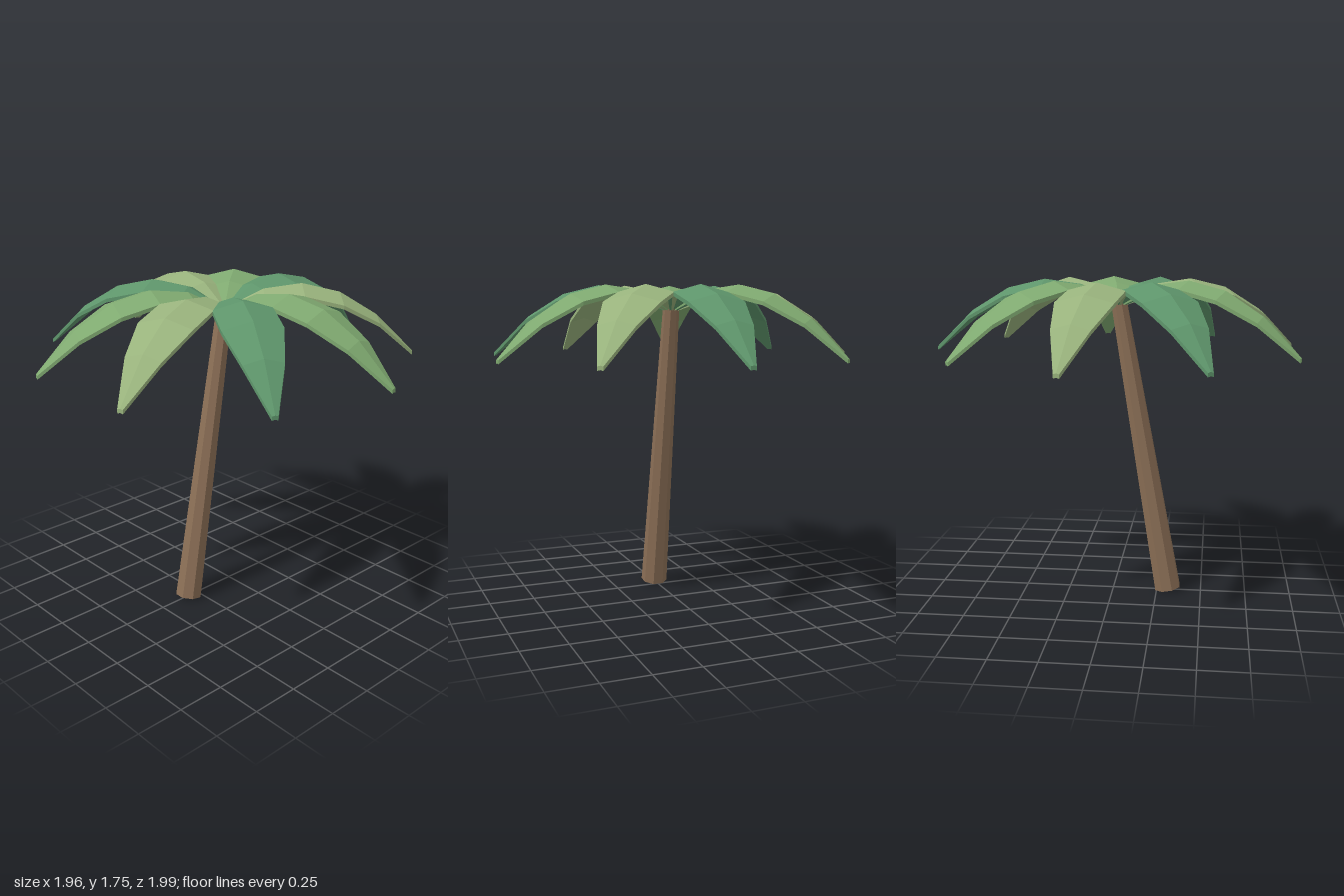
import * as THREE from 'three';

const CROWN = new THREE.Vector3(-0.03, 1.62, 0);
const STATIONS = 5, LENGTH = 1.01, THICK = 0.02;

// One arched leaf along +x: chevron cross-sections, widest in the middle
function frondGeometry() {
  const pos = [], idx = [], n = 6;
  for (let s = 0; s <= STATIONS; s++) {
    const t = s / STATIONS;
    const x = t * LENGTH;
    const y = 0.7 * t - 0.94 * t * t + 0.003;
    const w = (s === 0 ? 0.006 : 0.015) + 0.143 * Math.sin(Math.PI * t);
    const e = y - 0.26 * w; // edges hang below the ridge
    pos.push(x, y, 0, x, e, w, x, e - THICK, w, x, y - THICK, 0, x, e - THICK, -w, x, e, -w);
  }
  for (let s = 0; s < STATIONS; s++) {
    for (let i = 0; i < n; i++) {
      const a = s * n + i, b = s * n + (i + 1) % n;
      idx.push(a, b, a + n, b, b + n, a + n);
    }
  }
  // End caps
  const tip = STATIONS * n;
  for (let k = 0; k < 4; k++) {
    const p = (4 + k) % n, q = (5 + k) % n;
    idx.push(tip + 3, tip + p, tip + q, 3, q, p);
  }
  const geo = new THREE.BufferGeometry();
  geo.setAttribute('position', new THREE.Float32BufferAttribute(pos, 3));
  geo.setIndex(idx);
  const flat = geo.toNonIndexed();
  flat.computeVertexNormals();
  return flat;
}

function mat(color) {
  return new THREE.MeshStandardMaterial({ color, flatShading: true });
}

export function createModel() {
  const palm = new THREE.Group();
  palm.name = 'palmTree';

  // Leaning, tapered eight-sided trunk
  const foot = new THREE.Vector3(-0.312, 0.012, 0);
  const top = new THREE.Vector3(-0.03, 1.635, 0);
  const axis = top.clone().sub(foot);
  const trunkGeo = new THREE.CylinderGeometry(0.045, 0.075, axis.length(), 8, 6);
  trunkGeo.rotateY(Math.PI / 8);
  const trunk = new THREE.Mesh(trunkGeo, mat(0x8b6f56));
  trunk.name = 'trunk';
  trunk.position.copy(foot).add(top).multiplyScalar(0.5);
  trunk.quaternion.setFromUnitVectors(new THREE.Vector3(0, 1, 0), axis.normalize());
  palm.add(trunk);

  // Nine fronds in three repeating greens
  const fronds = new THREE.Group();
  fronds.name = 'fronds';
  fronds.position.copy(CROWN);
  const greens = [0x5e956b, 0x7fa970, 0x98b27c].map(mat);
  const geo = frondGeometry();
  for (let i = 0; i < 9; i++) {
    const frond = new THREE.Mesh(geo, greens[i % 3]);
    frond.name = 'frond' + (i + 1);
    frond.rotation.y = (i / 9) * Math.PI * 2;
    fronds.add(frond);
  }
  palm.add(fronds);
  return palm;
}
